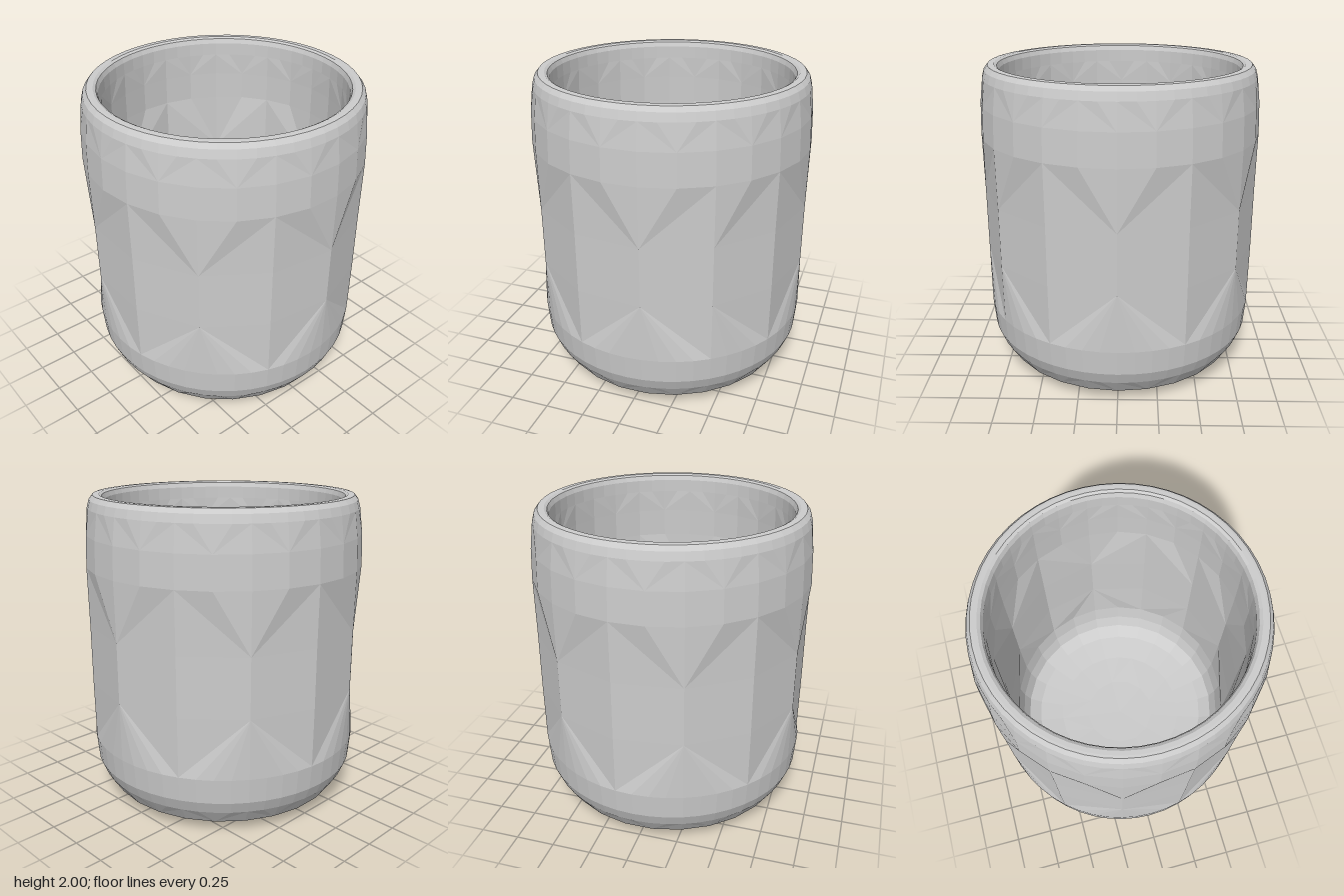
import * as THREE from 'three';

// Joins rings [radius, y, sides] from first to last into a faceted skin.
// Where the side count changes, the coarse ring's corners fan out to the fine ring.
function ringSkin(rings) {
  const pos = [];
  const point = ([r, y, n], k) => {
    const a = (k / n) * Math.PI * 2;
    return new THREE.Vector3(Math.cos(a) * r, y, Math.sin(a) * r);
  };
  const tri = (a, b, c, flip) => {
    if (a.distanceTo(b) < 1e-6 || b.distanceTo(c) < 1e-6 || c.distanceTo(a) < 1e-6) return;
    for (const v of flip ? [a, c, b] : [a, b, c]) pos.push(v.x, v.y, v.z);
  };
  for (let i = 0; i < rings.length - 1; i++) {
    const flip = rings[i][2] > rings[i + 1][2];
    const [coarse, fine] = flip ? [rings[i + 1], rings[i]] : [rings[i], rings[i + 1]];
    const m = fine[2] / coarse[2];
    for (let k = 0; k < coarse[2]; k++) {
      // alternate the fan apex so that pairs of fans form V shapes
      const atStart = k === 0 || (k > 1 && k % 2 === 1);
      const p0 = point(coarse, k), p1 = point(coarse, k + 1);
      for (let j = 0; j < m; j++) {
        tri(atStart ? p0 : p1, point(fine, k * m + j), point(fine, k * m + j + 1), flip);
      }
      tri(p0, point(fine, atStart ? (k + 1) * m : k * m), p1, flip);
    }
  }
  const geo = new THREE.BufferGeometry();
  geo.setAttribute('position', new THREE.Float32BufferAttribute(pos, 3));
  geo.computeVertexNormals();
  return geo;
}

export function createModel() {
  const group = new THREE.Group();
  group.name = 'cup';
  const material = new THREE.MeshStandardMaterial({ color: 0xcccccc, flatShading: true });
  const add = (name, rings) => {
    const mesh = new THREE.Mesh(ringSkin(rings), material);
    mesh.name = name;
    group.add(mesh);
  };

  // slightly domed underside
  add('base', [
    [0, 0, 26], [0.35, 0.008, 26], [0.55, 0.02, 26], [0.68, 0.04, 26], [0.77, 0.08, 26],
  ]);
  // rounded foot, coarse thirteen-sided waist, finer shoulder
  add('outerWall', [
    [0.77, 0.08, 26], [0.835, 0.18, 52], [0.868, 0.26, 52], [0.882, 0.42, 52],
    [0.886, 0.8, 13], [0.886, 1.18, 13], [0.89, 1.56, 26], [0.882, 1.76, 26], [0.862, 1.92, 52],
  ]);
  // rounded lip
  add('rim', [
    [0.862, 1.92, 52], [0.848, 1.97, 52], [0.825, 1.998, 52], [0.81, 2, 52],
    [0.785, 2, 52], [0.768, 1.99, 52], [0.757, 1.96, 52],
  ]);
  // inner wall follows the outer facets
  add('innerWall', [
    [0.757, 1.96, 52], [0.757, 1.88, 52], [0.762, 1.74, 26], [0.765, 1.56, 26],
    [0.762, 1.18, 13], [0.762, 0.8, 13], [0.755, 0.45, 26], [0.735, 0.32, 26], [0.7, 0.23, 26],
  ]);
  // dished inside floor
  add('innerFloor', [
    [0.7, 0.23, 26], [0.62, 0.175, 26], [0.45, 0.145, 26], [0.25, 0.13, 13], [0, 0.125, 13],
  ]);
  return group;
}
